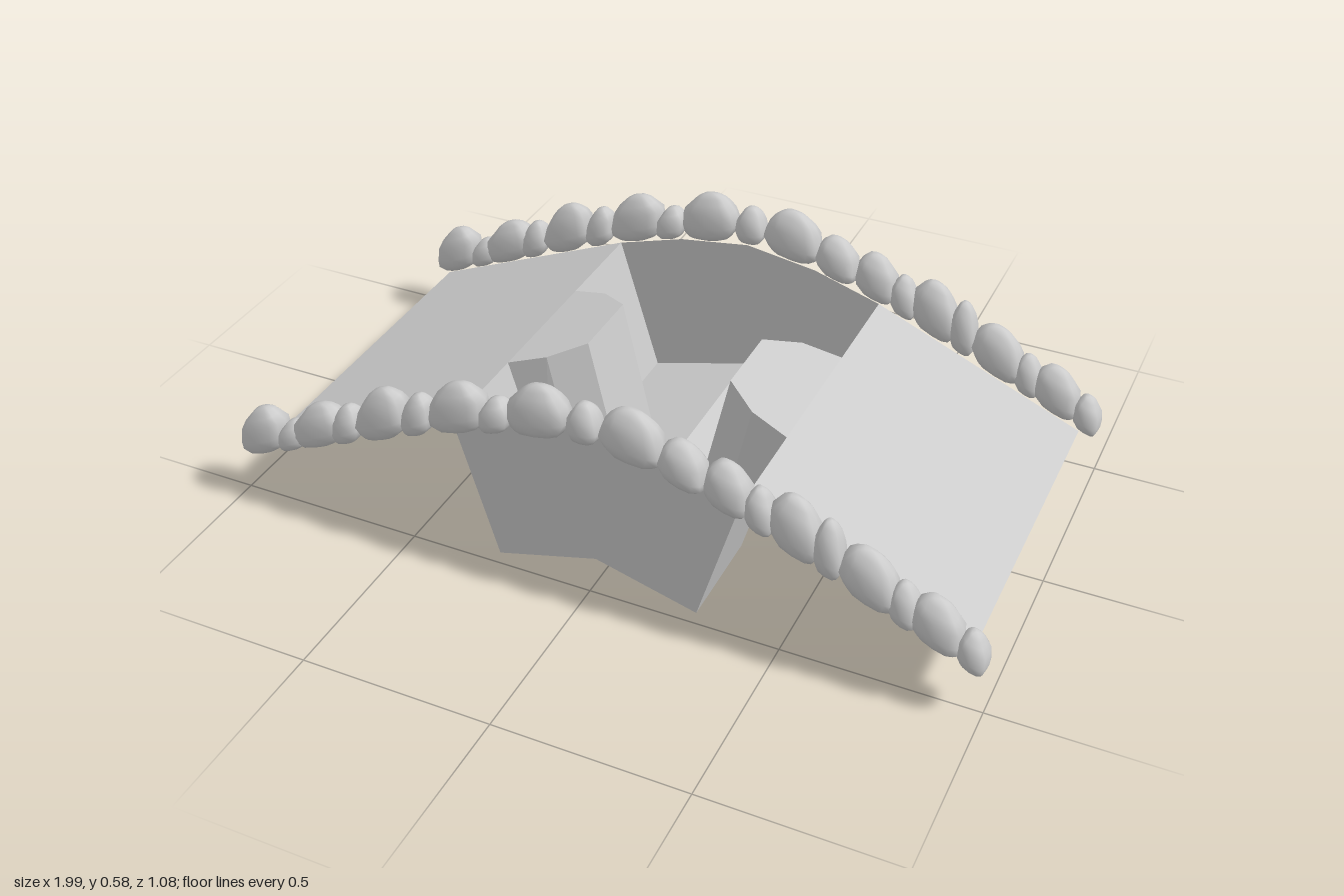
import * as THREE from 'three';
import { mergeVertices } from 'three/addons/utils/BufferGeometryUtils.js';

const END_Z = 0.465;
const sheetMaterial = new THREE.MeshStandardMaterial({ color: 0xcccccc, flatShading: true, side: THREE.DoubleSide });
const stoneMaterial = new THREE.MeshStandardMaterial({ color: 0xcccccc });

// Half outlines (x, z) of the waisted basin: rim and foot
const half = {
  rim: [[0.38, END_Z], [0.38, 0.187], [0.28, 0.165], [0.195, 0.1]],
  foot: [[0.27, END_Z], [0.27, 0.187], [0.195, 0.165], [0.107, 0.1]],
};
const fullSide = (pts) => [...pts, ...pts.map(([x, z]) => [x, -z]).reverse()];
const rim = fullSide(half.rim);
const foot = fullSide(half.foot);

// Heights across the span
function roofY(x) {
  const a = Math.abs(x);
  if (a > 0.38) return 0.375 - (a - 0.38) * 0.426;
  if (a > 0.195) return 0.375 + (0.38 - a) * 0.308;
  return 0.432 + (0.195 - a) * 0.15;
}
const footY = (x) => 0.075 * (1 - Math.abs(x) / 0.27);

function addMesh(group, name, geometry, material = sheetMaterial) {
  const mesh = new THREE.Mesh(geometry, material);
  mesh.name = name;
  group.add(mesh);
  return mesh;
}

// Plan outline raised to a height rule, facing up or down
function sheet(points, side, heightAt, faceUp) {
  const shape = new THREE.Shape(points.map(([x, z]) => new THREE.Vector2(side * x, -z)));
  const geo = new THREE.ShapeGeometry(shape);
  geo.rotateX(-Math.PI / 2);
  const pos = geo.attributes.position;
  for (let i = 0; i < pos.count; i++) pos.setY(i, heightAt(pos.getX(i)));
  if (!faceUp) geo.setIndex(Array.from(geo.index.array).reverse());
  geo.computeVertexNormals();
  return geo;
}

// Slanted wall joining the rim to the foot
function basinWall(side) {
  const verts = [];
  const index = [];
  rim.forEach(([x, z], i) => {
    const [fx, fz] = foot[i];
    verts.push(side * x, roofY(x), z, side * fx, footY(fx), fz);
    if (i === 0) return;
    const a = 2 * i - 2;
    const tris = [a, a + 1, a + 2, a + 1, a + 3, a + 2];
    index.push(...(side > 0 ? tris : tris.reverse()));
  });
  const geo = new THREE.BufferGeometry();
  geo.setAttribute('position', new THREE.Float32BufferAttribute(verts, 3));
  geo.setIndex(index);
  geo.computeVertexNormals();
  return geo;
}

// Upright end wall, arched at top and foot
function endWall() {
  const xs = [-0.38, -0.28, -0.195, 0, 0.195, 0.28, 0.38];
  const pts = xs.map((x) => new THREE.Vector2(x, roofY(x)));
  pts.push(...[0.27, 0, -0.27].map((x) => new THREE.Vector2(x, footY(x))));
  return new THREE.ShapeGeometry(new THREE.Shape(pts));
}

// Rounded kerb stone: boxy base, peaked top, sheared along the slope
function stone(x, width, top, seed) {
  let geo = new THREE.SphereGeometry(1, 12, 9);
  geo.deleteAttribute('uv');
  geo.deleteAttribute('normal');
  geo = mergeVertices(geo, 1e-4);
  const pos = geo.attributes.position;
  const base = roofY(x) - 0.005;
  const slope = Math.abs(x) < 0.05 ? 0 : (roofY(x + 0.03) - roofY(x - 0.03)) / 0.06;
  const depth = width > 0.1 ? 0.047 : 0.043;
  const boxy = (v) => Math.sign(v) * Math.pow(Math.abs(v), 0.72);
  for (let i = 0; i < pos.count; i++) {
    const t = (boxy(pos.getY(i)) + 1) / 2;
    const wobble = 1 + 0.05 * Math.sin(i * 12.9 + seed * 7.3);
    const taper = 1 - 0.45 * Math.max(0, t - 0.55) / 0.45;
    const dx = boxy(pos.getX(i)) * taper * wobble * width / 2;
    const dz = boxy(pos.getZ(i)) * taper * depth;
    pos.setXYZ(i, x + dx, base + slope * dx + (top - base) * t, dz);
  }
  geo.computeVertexNormals();
  return geo;
}

// Kerb stones: centre x, width, top height
const stones = [
  [-0.927, 0.14, 0.276], [-0.836, 0.085, 0.262], [-0.75, 0.155, 0.34], [-0.665, 0.085, 0.36],
  [-0.557, 0.15, 0.442], [-0.455, 0.085, 0.455], [-0.34, 0.16, 0.523], [-0.236, 0.085, 0.51],
  [-0.12, 0.165, 0.58], [0, 0.085, 0.565], [0.123, 0.165, 0.58], [0.25, 0.12, 0.53],
  [0.362, 0.118, 0.507], [0.442, 0.075, 0.46], [0.53, 0.13, 0.463], [0.61, 0.075, 0.425],
  [0.71, 0.148, 0.372], [0.795, 0.075, 0.31], [0.875, 0.13, 0.292], [0.962, 0.075, 0.228],
];

export function createModel() {
  const model = new THREE.Group();
  model.name = 'archedSpan';

  for (const side of [1, -1]) {
    const label = side > 0 ? 'left' : 'right';
    // Sloping deck and the tongue reaching in over the waist
    const slope = [[0.38, END_Z], [0.95, END_Z], [0.95, -END_Z], [0.38, -END_Z]];
    addMesh(model, label + 'Deck', sheet(slope, side, roofY, true));
    addMesh(model, label + 'DeckTongue', sheet(rim.slice(1, -1), side, roofY, true));
    addMesh(model, label + 'BasinWall', basinWall(side));
    // Half of the shallow arched floor
    const floor = [[0, END_Z], ...foot, [0, -END_Z]];
    addMesh(model, label + 'BasinFloor', sheet(floor, side, footY, false));
  }

  for (const side of [1, -1]) {
    const label = side > 0 ? 'front' : 'back';
    const wall = addMesh(model, label + 'EndWall', endWall());
    wall.position.z = side * END_Z;
    if (side < 0) wall.rotation.y = Math.PI;

    // Row of kerb stones along the edge
    const kerb = new THREE.Group();
    kerb.name = label + 'Kerb';
    kerb.position.z = side * 0.494;
    stones.forEach(([x, w, top], i) => addMesh(kerb, 'kerbStone', stone(x, w, top, i), stoneMaterial));
    model.add(kerb);
  }
  return model;
}
